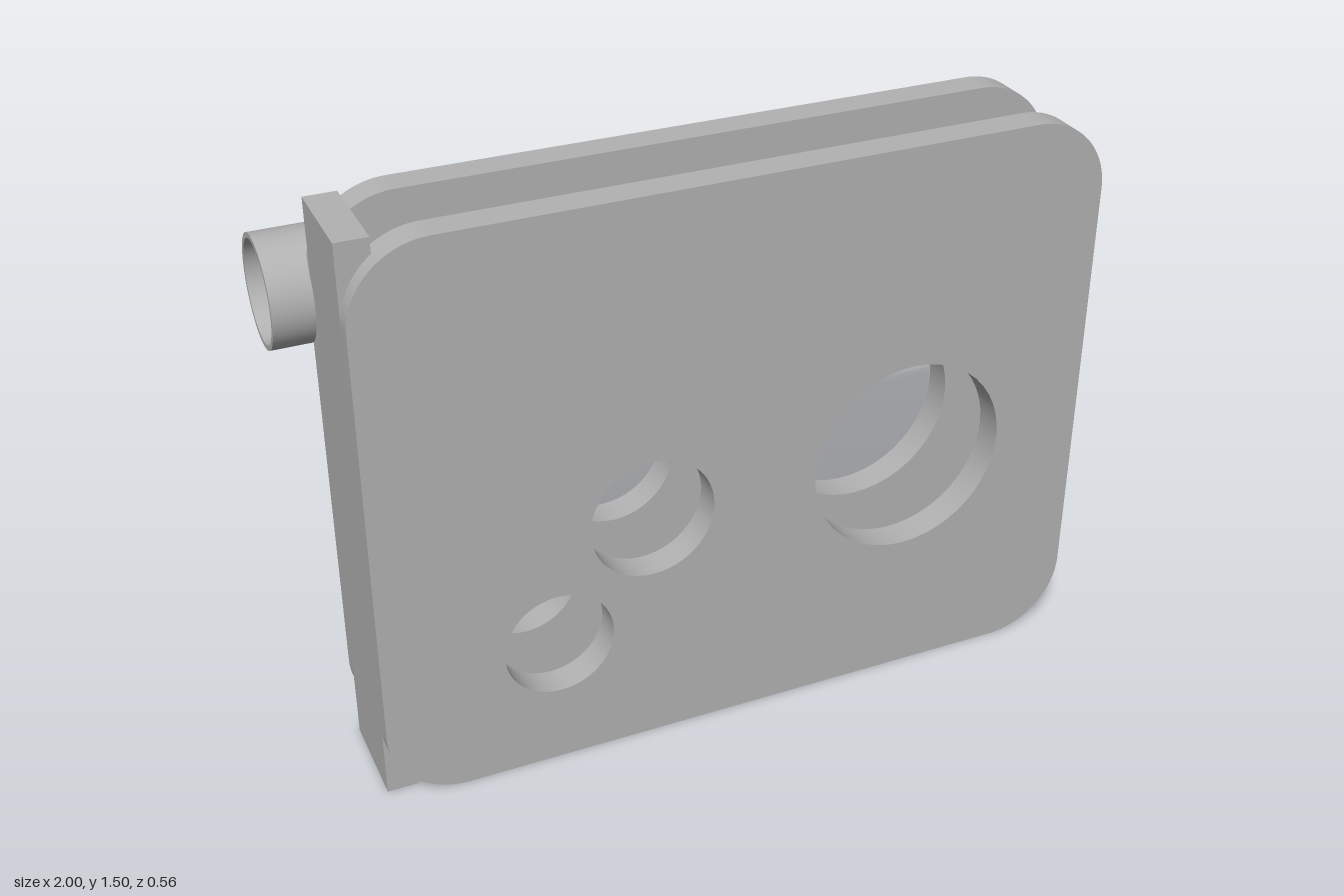
import * as THREE from 'three';
import { toCreasedNormals } from 'three/addons/utils/BufferGeometryUtils.js';

const grey = new THREE.MeshStandardMaterial({ color: 0xb2b2b2 });
grey.name = 'grey';

function addMesh(group, name, geometry) {
  const mesh = new THREE.Mesh(geometry, grey);
  mesh.name = name;
  group.add(mesh);
  return mesh;
}

// Straight extrusion with smooth curves and sharp edges
function extrude(shape, depth, curveSegments) {
  const geometry = new THREE.ExtrudeGeometry(shape, { depth, curveSegments, bevelEnabled: false });
  return toCreasedNormals(geometry, 0.6);
}

function circle(x, y, r) {
  return new THREE.Path().absarc(x, y, r, 0, Math.PI * 2, true);
}

function roundedRect(x0, y0, x1, y1, r) {
  const q = Math.PI / 2;
  const s = new THREE.Shape();
  s.absarc(x1 - r, y0 + r, r, -q, 0);
  s.absarc(x1 - r, y1 - r, r, 0, q);
  s.absarc(x0 + r, y1 - r, r, q, 2 * q);
  s.absarc(x0 + r, y0 + r, r, 2 * q, 3 * q);
  s.closePath();
  return s;
}

function rect(Type, x0, y0, x1, y1) {
  return new Type([[x0, y0], [x1, y0], [x1, y1], [x0, y1]].map(([x, y]) => new THREE.Vector2(x, y)));
}

export function createModel() {
  const model = new THREE.Group();
  model.name = 'doublePlateAssembly';

  // Two matching rounded plates with three through holes
  const plate = roundedRect(-0.9, 0, 1, 1.5, 0.2);
  plate.holes.push(circle(-0.2, 0.65, 0.162), circle(-0.45, 0.35, 0.142), circle(0.5, 0.65, 0.262));
  const plateGeometry = extrude(plate, 0.08, 24);
  addMesh(model, 'frontPlate', plateGeometry).position.z = 0.2;
  addMesh(model, 'backPlate', plateGeometry).position.z = -0.06;

  // Side bar joining the plates
  addMesh(model, 'sideBar', new THREE.BoxGeometry(0.08, 1.5, 0.256)).position.set(-0.86, 0.75, 0.107);

  // Open tube across the back, partly sunk into the back plate
  const ring = new THREE.Shape().absarc(0, 0, 0.138, 0, Math.PI * 2);
  ring.holes.push(circle(0, 0, 0.125));
  const tube = extrude(ring, 1.35, 32).rotateY(Math.PI / 2);
  addMesh(model, 'tube', tube).position.set(-1, 1.232, -0.14);

  // Slotted catch beside the tube
  const latch = rect(THREE.Shape, 0.42, 1.03, 0.58, 1.43);
  latch.holes.push(rect(THREE.Path, 0.48, 1.12, 0.52, 1.34));
  addMesh(model, 'slottedCatch', extrude(latch, 0.045, 1)).position.z = -0.104;

  return model;
}
